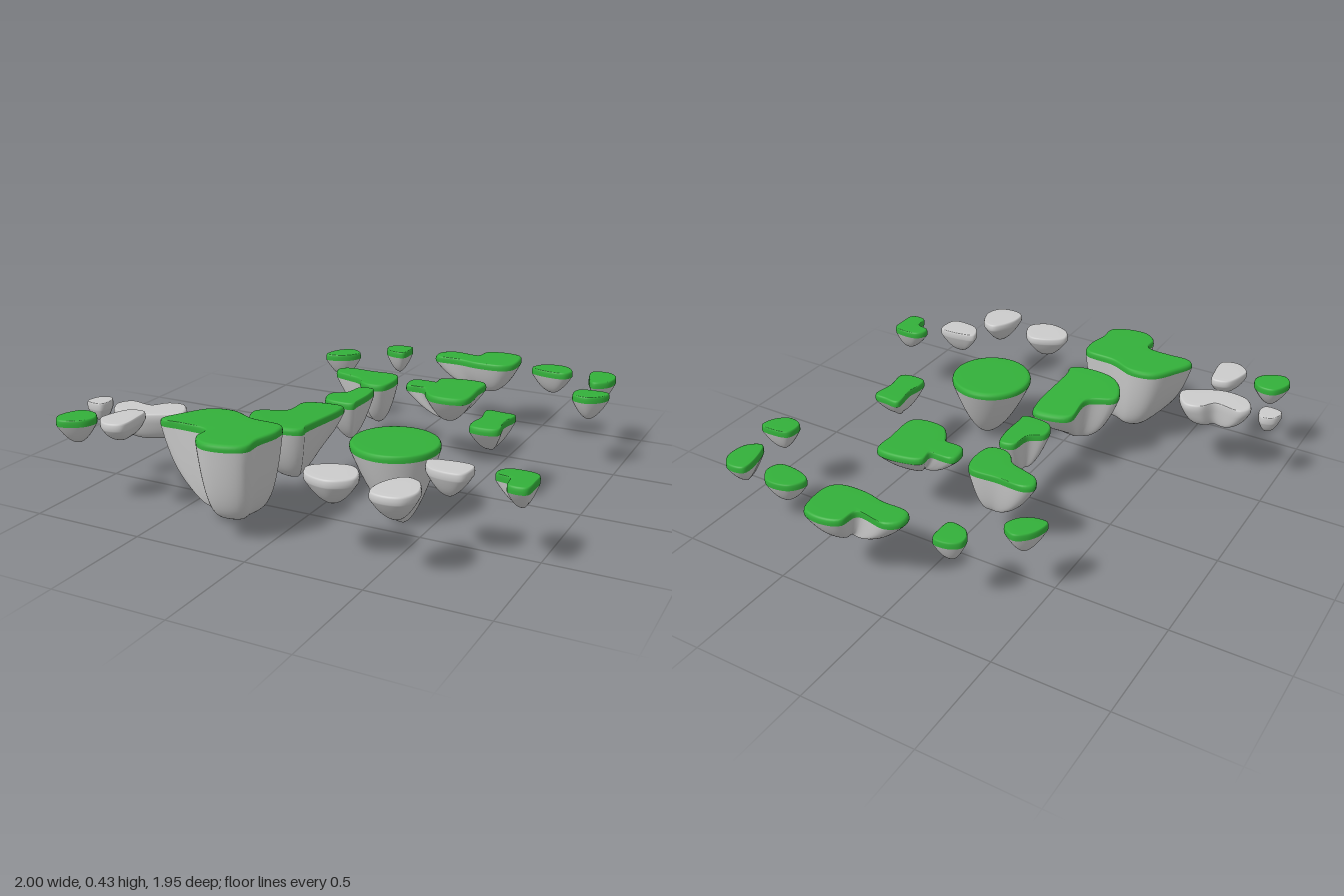
import * as THREE from 'three';

const rock = new THREE.MeshStandardMaterial({ color: 0xcccccc });
const grass = new THREE.MeshStandardMaterial({ color: 0x33b03a });
const SEG = 72;

// Skin a stack of closed rings, ordered from the lowest to the topmost
function loft(name, rings, material) {
  const pos = [], index = [];
  rings.forEach(r => r.forEach(p => pos.push(...p)));
  for (let k = 0; k < rings.length - 1; k++)
    for (let i = 0; i < SEG; i++) {
      const j = (i + 1) % SEG, lo = k * SEG, up = lo + SEG;
      index.push(lo + j, lo + i, up + i, lo + j, up + i, up + j);
    }
  const g = new THREE.BufferGeometry();
  g.setAttribute('position', new THREE.Float32BufferAttribute(pos, 3));
  g.setIndex(index);
  g.computeVertexNormals();
  const mesh = new THREE.Mesh(g, material);
  mesh.name = name;
  return mesh;
}

// Floating island; outline, centre and lobes are in hundredths on the ground plane.
// power: fullness of the underside, slope: rise of the top along z,
// lobes: [x, z, lowest y], blended by distance
function island(name, outline, { top = 0.36, bottom = 0.24, centre, lobes, power = 1.8, slope = 0, bare = false } = {}) {
  const curve = new THREE.CatmullRomCurve3(
    outline.map(([x, z]) => new THREE.Vector3(x / 100, 0, z / 100)), true);
  const edge = curve.getSpacedPoints(SEG).slice(0, SEG);
  const mid = new THREE.Vector3();
  if (centre) mid.set(centre[0] / 100, 0, centre[1] / 100);
  else {
    edge.forEach(p => mid.add(p));
    mid.divideScalar(SEG);
  }
  const points = lobes || [[mid.x * 100, mid.z * 100, bottom]];
  const lowest = (x, z) => {
    let sum = 0, weight = 0;
    for (const [lx, lz, y] of points) {
      const w = 1 / ((x - lx / 100) ** 2 + (z - lz / 100) ** 2 + 0.002);
      sum += w * y;
      weight += w;
    }
    return sum / weight;
  };
  const ring = (s, height) => edge.map(p => {
    const x = mid.x + (p.x - mid.x) * s, z = mid.z + (p.z - mid.z) * s;
    return [x, height(x, z), z];
  });
  const level = drop => (x, z) => top - drop + slope * (z - mid.z);

  // underside, from the tip out to the rim
  const rim = 0.03, n = 18, under = [];
  for (let k = 0; k <= n; k++) {
    const s = Math.max(0.002, (k / n) ** 0.65);
    under.push(ring(s, (x, z) => {
      const y = level(rim)(x, z);
      return y - (y - lowest(x, z)) * (1 - s ** power);
    }));
  }
  // rounded rim and flat top
  const cap = [[1, rim], [1.005, 0.018], [0.995, 0.008], [0.97, 0.002], [0.92, 0], [0.5, 0], [0.002, 0]]
    .map(([s, drop]) => ring(s, level(drop)));

  const group = new THREE.Group();
  group.name = name;
  if (bare) group.add(loft('rock', [...under, ...cap.slice(1)], rock));
  else group.add(loft('rockUnderside', under, rock), loft('grassTop', cap, grass));
  return group;
}

export function createModel() {
  const model = new THREE.Group();
  model.name = 'floatingIslands';
  const add = (...args) => model.add(island(...args));

  // main chain of large islands
  add('mainIsland', [[-51, 79], [-47, 70], [-40, 60], [-30, 58], [-18, 63], [-3, 65], [-1, 72], [-3, 83],
    [-3, 91], [-9, 95], [-20, 96], [-26, 91], [-27, 83], [-40, 81], [-49, 81]],
  { top: 0.435, centre: [-18, 76], power: 5, lobes: [[-27, 73, 0.07], [-13, 86, 0.08], [-45, 76, 0.15]] });
  add('secondIsland', [[-20, 18], [-16, 15], [-3, 14], [-1, 20], [-1, 50], [0, 54], [-5, 57], [-21, 56],
    [-28, 50], [-31, 40], [-20, 33]],
  { top: 0.38, slope: 0.06, centre: [-12, 40], power: 2.8, lobes: [[-12, 44, 0.12], [-9, 22, 0.2]] });
  add('linkIsland', [[-9, -14], [-3, -15], [-1, -8], [-1, 5], [-1, 9], [-8, 10], [-15, 8], [-17, 0], [-11, -5]],
    { bottom: 0.16, centre: [-7, -1] });
  add('bentIsland', [[-32, -36], [-29, -39], [-16, -39], [-3, -39], [0, -34], [-1, -21], [-7, -19], [-12, -21],
    [-16, -26], [-25, -29], [-30, -31]], { bottom: 0.14, centre: [-9, -33], power: 2.2 });

  // round cone island
  const circle = Array.from({ length: 16 }, (_, i) => {
    const a = Math.PI + i * Math.PI / 8;
    return [32.5 + 18.5 * Math.cos(a), 36.5 + 18.5 * Math.sin(a)];
  });
  add('roundIsland', circle, { top: 0.335, bottom: 0, centre: [38, 40], power: 1.7 });

  // middle and back islands
  add('keyIsland', [[7, -36], [14, -37], [18, -37], [18, -43], [24, -46], [39, -46], [40, -35], [40, -19],
    [34, -16], [24, -17], [19, -23], [17, -26], [8, -27]], { bottom: 0.21, centre: [28, -30] });
  add('backIsland', [[0, -84], [5, -88], [19, -87], [21, -95], [30, -98], [38, -96], [40, -91], [40, -79],
    [36, -75], [24, -74], [14, -76], [1, -77]],
  { centre: [27, -83], power: 2.4, lobes: [[30, -85], [10, -82]].map(p => [...p, 0.2]) });
  add('backRightIsland', [[-27, -83], [-23, -86], [-16, -86], [-15, -80], [-16, -74], [-24, -75], [-27, -79]]);
  add('rightIsland', [[-49, -60], [-46, -66], [-41, -69], [-35, -65], [-37, -59], [-43, -55], [-49, -55]]);
  add('backLeftIsland', [[50, -82], [54, -87], [64, -88], [69, -82], [67, -76], [56, -76], [50, -79]],
    { bottom: 0.24 });
  add('cornerIsland', [[78, -86], [86, -87], [90, -82], [89, -72], [83, -68], [79, -75]]);
  add('leftIsland', [[80, -55], [88, -57], [94, -56], [93, -50], [87, -45], [80, -47]]);
  add('barIsland', [[54, -10], [61, -10], [67, -9], [66, 2], [67, 12], [62, 14], [55, 13], [54, 8], [55, 1]],
    { bottom: 0.23 });

  // front side islands
  add('hookIsland', [[83, 53], [86, 50], [98, 51], [99, 58], [98, 66], [91, 66], [89, 59], [83, 57]],
    { centre: [94, 56] });
  add('farRightIsland', [[-95, 86], [-91, 79], [-84, 79], [-80, 84], [-82, 90], [-91, 94], [-95, 90]],
    { top: 0.405, bottom: 0.29 });

  // bare stones
  const stone = (name, outline, top, bottom, more) => add(name, outline, { top, bottom, bare: true, ...more });
  stone('leftStone', [[57, 60], [62, 58], [75, 58], [76, 64], [74, 69], [61, 68]], 0.38, 0.26);
  stone('frontStone', [[18, 83], [23, 78], [33, 75], [38, 79], [40, 87], [32, 93], [21, 90]], 0.365, 0.24);
  stone('frontLeftStone', [[52, 80], [56, 76], [62, 78], [66, 88], [63, 95], [56, 97], [50, 95], [49, 88]],
    0.365, 0.24);
  stone('frontRightStone', [[-75, 83], [-71, 73], [-64, 72], [-62, 79], [-62, 90], [-69, 92], [-75, 87]],
    0.42, 0.33, { power: 3 });
  stone('curvedStone', [[-87, 61], [-84, 56], [-72, 57], [-67, 51], [-60, 50], [-54, 60], [-60, 65], [-72, 70],
    [-83, 68]], 0.39, 0.265, { centre: [-70, 61], power: 4 });
  stone('smallStone', [[-99, 58], [-94, 56], [-91, 60], [-92, 66], [-100, 65]], 0.39, 0.3, { power: 2.5 });

  return model;
}
